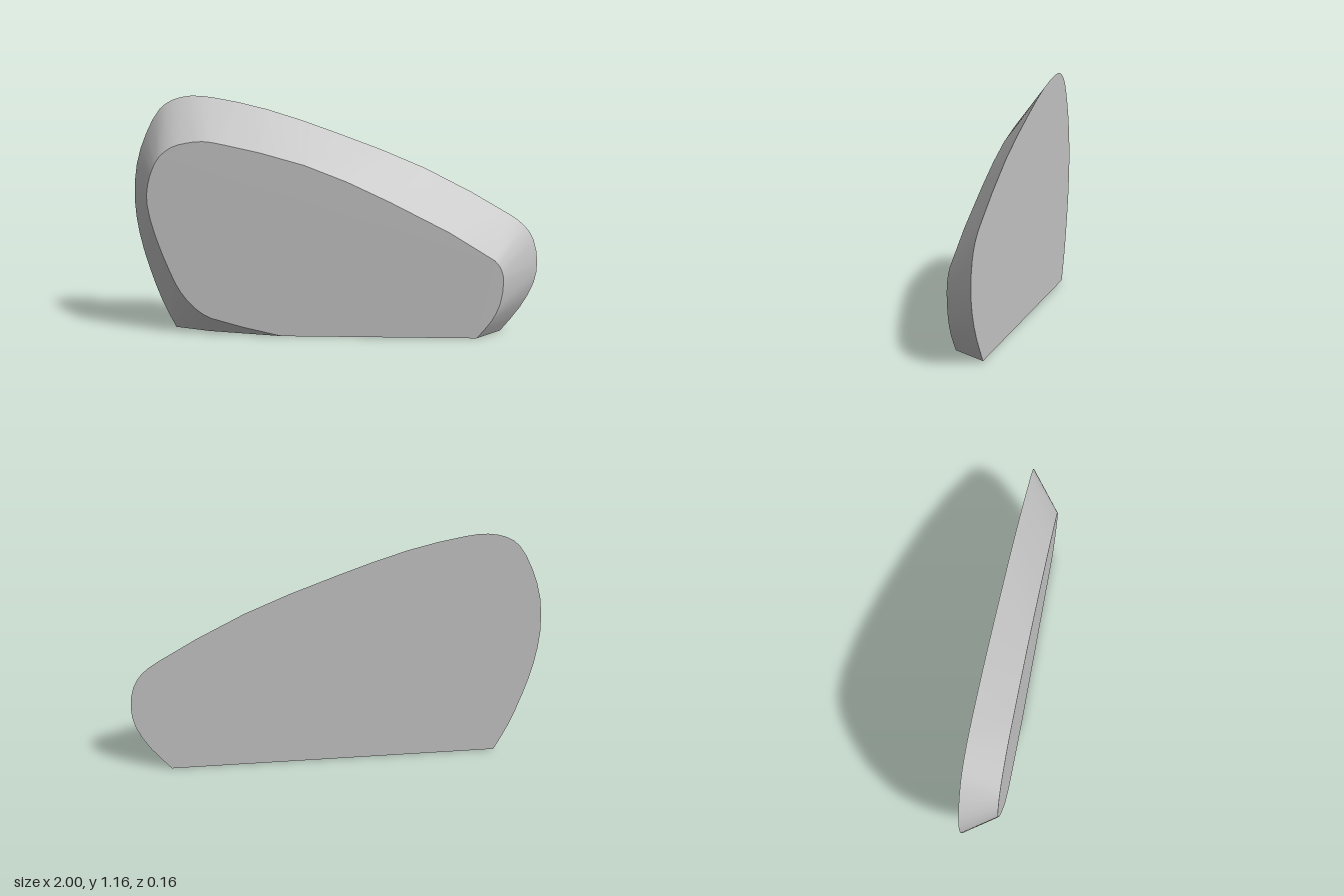
import * as THREE from 'three';
import { toCreasedNormals } from 'three/addons/utils/BufferGeometryUtils.js';
import { ConvexGeometry } from 'three/addons/geometries/ConvexGeometry.js';

const HALF_DEPTH = 0.08;

// Large outline of the back face, clockwise from its lower left corner
const backOutline = [
  [-0.805, 0], [-0.87, 0.13], [-0.935, 0.31], [-0.98, 0.48], [-1, 0.65], [-0.985, 0.83],
  [-0.935, 0.98], [-0.865, 1.1], [-0.8, 1.145], [-0.71, 1.165], [-0.6, 1.157],
  [-0.335, 1.1], [0.01, 0.985], [0.44, 0.815], [0.855, 0.59], [0.935, 0.53],
  [0.98, 0.46], [1, 0.35], [0.985, 0.245], [0.92, 0.12], [0.825, 0],
];

// Smaller outline of the front face, cut off by the ground
const frontOutline = [
  [-0.255, 0], [-0.6, 0.085], [-0.675, 0.13], [-0.75, 0.215], [-0.8, 0.315], [-0.87, 0.5],
  [-0.905, 0.65], [-0.9, 0.74], [-0.875, 0.82], [-0.84, 0.88], [-0.78, 0.925],
  [-0.71, 0.945], [-0.63, 0.953], [-0.54, 0.94], [-0.14, 0.84], [0.27, 0.665],
  [0.775, 0.385], [0.81, 0.335], [0.82, 0.28], [0.805, 0.17], [0.765, 0.085], [0.695, 0],
];

// Rounds an outline with a curve through its points, at one depth
function roundedOutline(outline, z) {
  const points = outline.map(([x, y]) => new THREE.Vector3(x, y, z));
  return new THREE.CatmullRomCurve3(points).getPoints((points.length - 1) * 2);
}

export function createModel() {
  const stone = new THREE.MeshStandardMaterial({ color: 0xc5c5c5 });
  stone.name = 'light stone grey';

  // Bevelled slab stretched between both faces, with a bulge in the base's cut edge
  const points = [
    ...roundedOutline(backOutline, -HALF_DEPTH),
    ...roundedOutline(frontOutline, HALF_DEPTH),
    new THREE.Vector3(-0.62, 0, -0.003),
  ];
  const slab = new THREE.Mesh(toCreasedNormals(new ConvexGeometry(points), 0.5), stone);
  slab.name = 'bevelledSlab';

  const group = new THREE.Group();
  group.name = 'stoneSlab';
  group.add(slab);
  return group;
}
